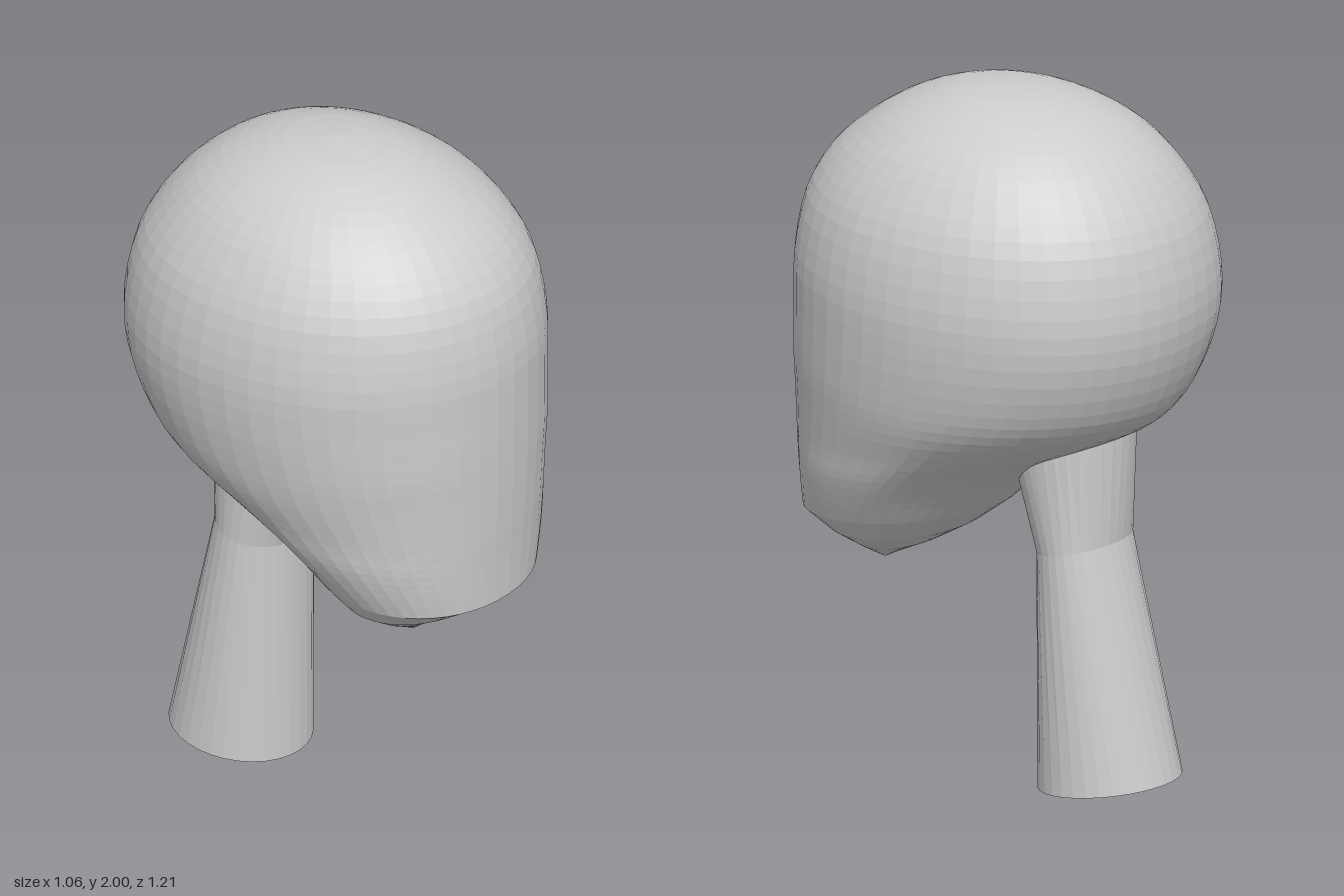
import * as THREE from 'three';

// Each section: [front z, front y, back z, back y, half width, front squareness, back squareness]
const HEAD = [
  [0.0, 2.0, 0.0, 2.0, 0, 2, 2],
  [0.15, 1.985, -0.16, 1.983, 0.135, 2, 2],
  [0.28, 1.943, -0.3, 1.937, 0.245, 2, 2.05],
  [0.4, 1.87, -0.41, 1.865, 0.35, 2, 2.1],
  [0.5, 1.78, -0.5, 1.77, 0.428, 2, 2.12],
  [0.57, 1.66, -0.57, 1.645, 0.493, 2, 2.15],
  [0.602, 1.5, -0.604, 1.48, 0.528, 2, 2.15],
  [0.605, 1.35, -0.593, 1.33, 0.527, 2, 2.15],
  [0.603, 1.2, -0.54, 1.18, 0.507, 2.05, 2.05],
  [0.6, 1.1, -0.47, 1.085, 0.483, 2.05, 1.9],
  [0.595, 0.97, -0.35, 1.015, 0.443, 2.1, 1.75],
  [0.59, 0.88, -0.22, 0.955, 0.415, 2.1, 1.7],
  [0.587, 0.8, -0.1, 0.87, 0.375, 2.1, 1.75],
  [0.585, 0.74, 0.0, 0.78, 0.335, 2.1, 1.9],
];
// Sharp-edged chin wedge below the jaw line
const CHIN = [
  [0.5, 0.69, 0.1, 0.705, 0.285, 2.1, 2],
  [0.42, 0.64, 0.2, 0.647, 0.2, 2, 2],
  [0.34, 0.592, 0.32, 0.592, 0.1, 2, 2],
  [0.33, 0.59, 0.33, 0.59, 0, 2, 2],
];
const NECK = [
  [0.0, 1.1, -0.4, 1.1, 0.165, 2, 2],
  [-0.13, 0.68, -0.375, 0.73, 0.162, 2, 2],
  [-0.132, 0.0, -0.534, 0.052, 0.2, 2, 2],
  [-0.333, 0.026, -0.333, 0.026, 0, 2, 2],
];

// Insert smoothly interpolated sections between the given ones
function refine(sections, steps) {
  const out = [];
  const last = sections.length - 1;
  for (let i = 0; i < last; i++) {
    const p = [i - 1, i, i + 1, i + 2].map((k) => sections[Math.min(last, Math.max(0, k))]);
    for (let s = 0; s < steps; s++) {
      const t = s / steps;
      out.push(p[1].map((b, k) => {
        const a = p[0][k], c = p[2][k], d = p[3][k];
        return b + 0.5 * t * (c - a + t * (2 * a - 5 * b + 4 * c - d + t * (3 * (b - c) + d - a)));
      }));
    }
  }
  out.push(sections[last]);
  return out;
}

// Skin a stack of tilted oval sections, listed from top to bottom
function loft(sections, sides) {
  const positions = [];
  const index = [];
  for (const [fz, fy, bz, by, width, front, back] of sections) {
    for (let j = 0; j < sides; j++) {
      const a = (j / sides) * Math.PI * 2;
      const c = Math.cos(a), s = Math.sin(a);
      const e = 2 / (c > 0 ? front : back);
      const u = Math.sign(c) * Math.abs(c) ** e;
      const v = Math.sign(s) * Math.abs(s) ** e;
      positions.push(
        width * v,
        (fy + by) / 2 + u * (fy - by) / 2,
        (fz + bz) / 2 + u * (fz - bz) / 2,
      );
    }
  }
  for (let i = 0; i < sections.length - 1; i++) {
    for (let j = 0; j < sides; j++) {
      const k = (j + 1) % sides;
      const a = i * sides + j, b = i * sides + k;
      const c = a + sides, d = b + sides;
      if (sections[i + 1][4] > 0) index.push(a, c, d);
      else index.push(a, c, b);
      if (sections[i][4] > 0 && sections[i + 1][4] > 0) index.push(a, d, b);
    }
  }
  const geometry = new THREE.BufferGeometry();
  geometry.setAttribute('position', new THREE.Float32BufferAttribute(positions, 3));
  geometry.setIndex(index);
  geometry.computeVertexNormals();
  return geometry;
}

export function createModel() {
  const group = new THREE.Group();
  group.name = 'mannequinHead';
  const material = new THREE.MeshStandardMaterial({ color: 0xcccccc, flatShading: true });

  // Skull, face and chin in one skin
  const head = new THREE.Mesh(loft([...refine(HEAD, 3), ...CHIN], 48), material);
  head.name = 'head';
  group.add(head);

  // Bent, tapering neck with a closed foot
  const neck = new THREE.Mesh(loft(NECK, 32), material);
  neck.name = 'neck';
  group.add(neck);

  return group;
}
